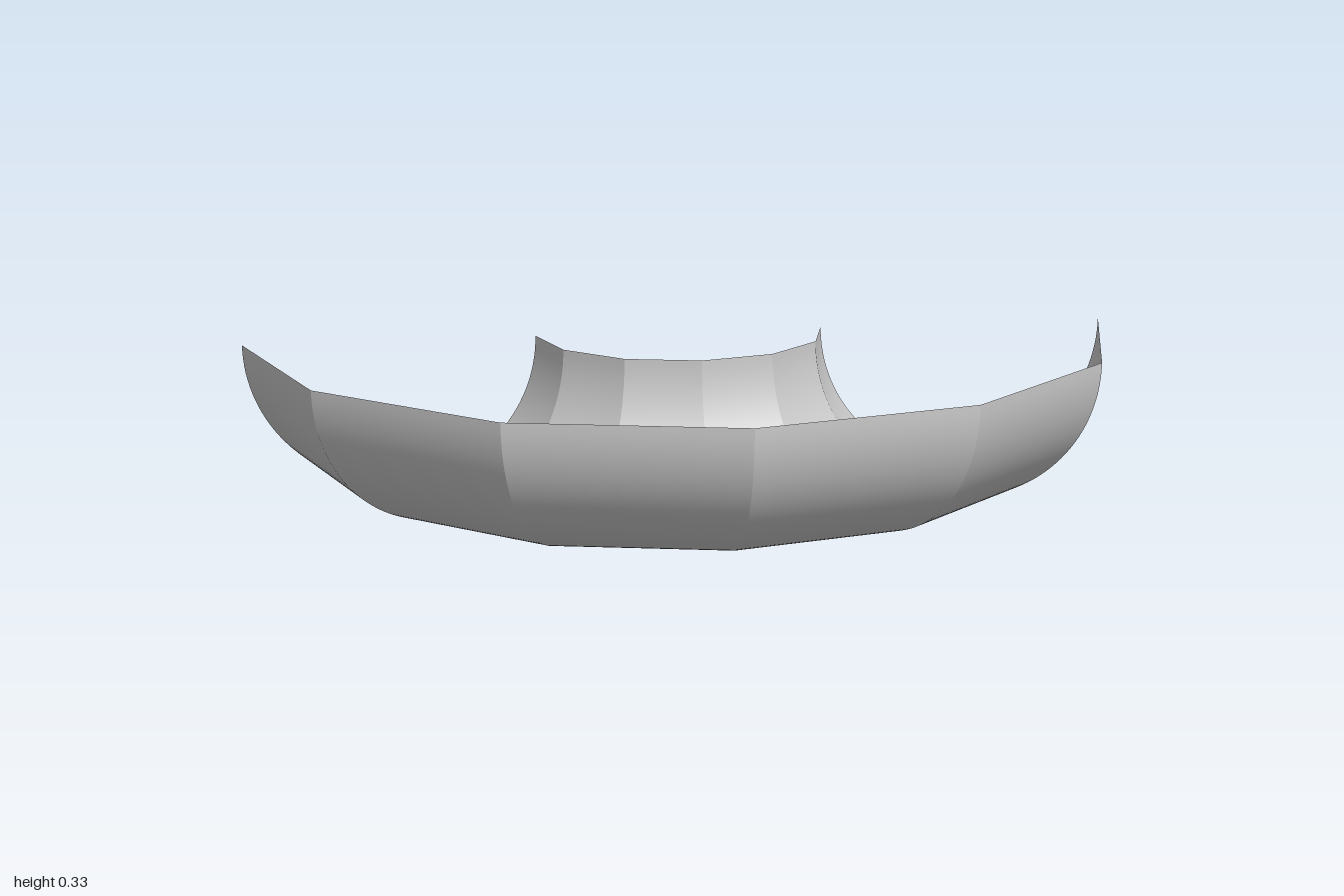
import * as THREE from 'three';

const BEND = 2 / 3;      // radius of the bend's centre line
const TUBE = 1 / 3;      // radius of the half-round channel
const SEGMENTS = 6;      // straight mitred pieces in the half turn
const PROFILE_STEPS = 64;

// One straight mitred piece of the channel, smooth around its half-round profile
function channelSegment(start, end) {
  const geo = new THREE.PlaneGeometry(1, 1, PROFILE_STEPS, 1);
  const pos = geo.attributes.position;
  const uv = geo.attributes.uv;
  for (let i = 0; i < pos.count; i++) {
    const phi = Math.PI * (1 - uv.getX(i));
    const angle = THREE.MathUtils.lerp(start, end, uv.getY(i));
    const radius = BEND + TUBE * Math.cos(phi);
    pos.setXYZ(
      i,
      radius * Math.cos(angle),
      TUBE * (1 - Math.sin(phi)),
      radius * Math.sin(angle) - 0.5
    );
  }
  geo.computeVertexNormals();
  return geo;
}

export function createModel() {
  const model = new THREE.Group();
  model.name = 'curvedGutter';
  const material = new THREE.MeshStandardMaterial({ color: 0xcccccc, side: THREE.DoubleSide });

  // Separate pieces keep the mitre joints sharp
  const step = Math.PI / SEGMENTS;
  for (let i = 0; i < SEGMENTS; i++) {
    const mesh = new THREE.Mesh(channelSegment(i * step, (i + 1) * step), material);
    mesh.name = `channelSegment${i + 1}`;
    model.add(mesh);
  }
  return model;
}
